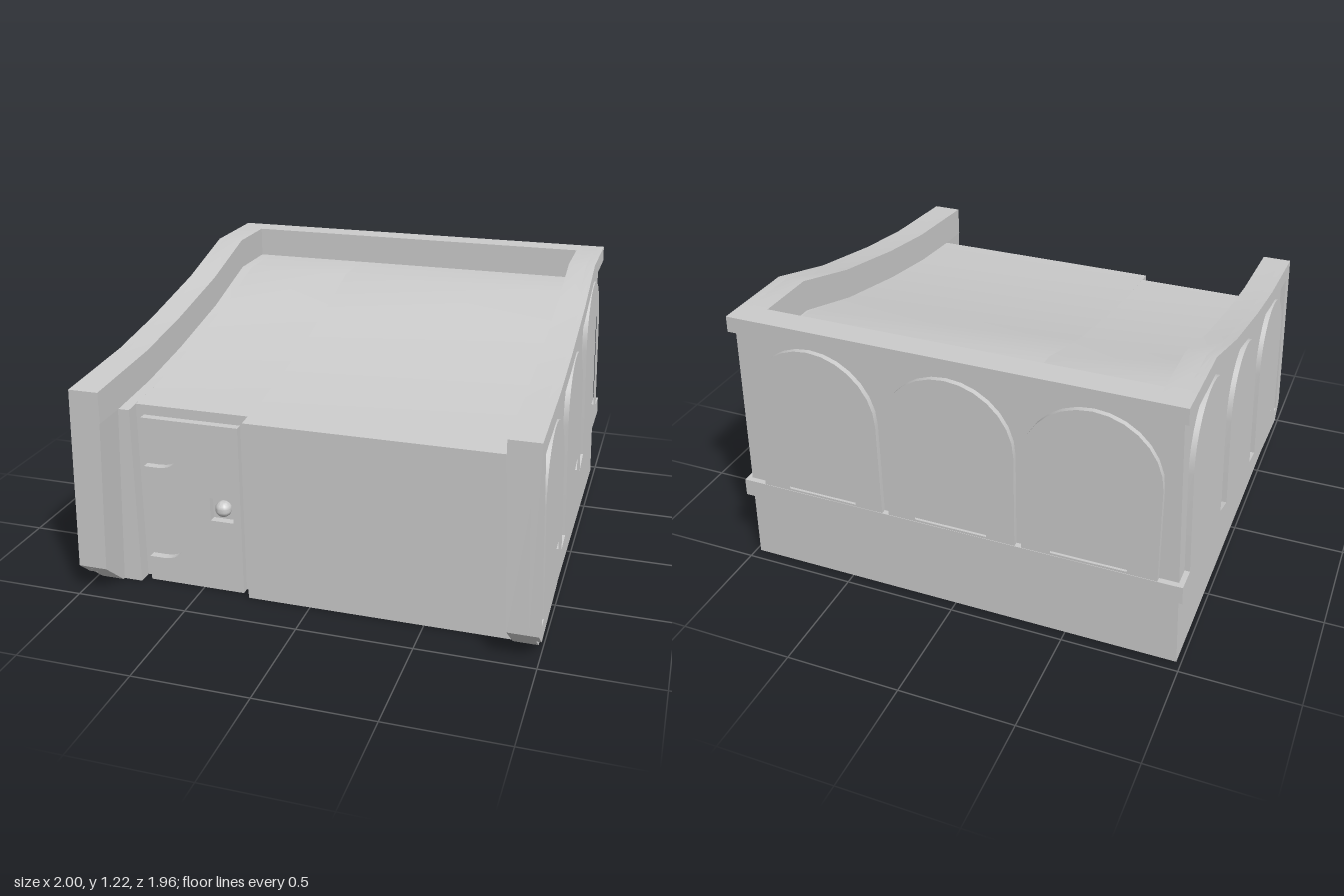
import * as THREE from 'three';
import { toCreasedNormals } from 'three/addons/utils/BufferGeometryUtils.js';

const material = new THREE.MeshStandardMaterial({ color: 0xcccccc });
const RELIEF = 0.022;

// Side-elevation curves as [u, y], with u = -z (front to back)
const rimTop = [[-0.98, 0.945], [-0.53, 0.98], [-0.2, 1.03], [0.22, 1.115], [0.58, 1.22], [0.975, 1.22]];
const rimBottom = [[-0.9, 0.875], [-0.53, 0.91], [-0.2, 0.96], [0.22, 1.045], [0.58, 1.15], [0.975, 1.15]];
const ledgeBottom = [[-0.9, 0.06], [-0.5, 0.09], [-0.12, 0.15], [0.25, 0.23], [0.58, 0.33], [0.975, 0.33]];
const deckInner = [[-0.53, 0.84], [-0.2, 0.89], [0.22, 0.975], [0.58, 1.08], [0.95, 1.08]];

// Outer faces lean inward with height
const outer = (y) => 1.0 - 0.034 * (y - 0.06);
const base = (y) => outer(y) - RELIEF;

const toShape = (pts) => new THREE.Shape(pts.map(([x, y]) => new THREE.Vector2(x, y)));
const clipBack = (pts, u) => pts.map(([x, y]) => [Math.min(x, u), y]);

// Round-headed arch running from its front foot to its back foot
function arch(x0, y0, x1, y1, top) {
  const r = (x1 - x0) / 2, c = (x0 + x1) / 2, pts = [[x0, y0]];
  for (let i = 0; i <= 14; i++) {
    const a = Math.PI * (1 - i / 14);
    pts.push([c + r * Math.cos(a), top - r + r * Math.sin(a)]);
  }
  pts.push([x1, y1]);
  return pts;
}

function addMesh(group, name, geometry) {
  const mesh = new THREE.Mesh(toCreasedNormals(geometry, 0.4), material);
  mesh.name = name;
  group.add(mesh);
  return mesh;
}

// Extrude a side elevation across x, each end a function of height
function across(group, name, shape, from, to) {
  const g = new THREE.ExtrudeGeometry(shape, { depth: 1, bevelEnabled: false });
  g.rotateY(Math.PI / 2);
  const p = g.attributes.position;
  for (let i = 0; i < p.count; i++) {
    const y = p.getY(i);
    p.setX(i, THREE.MathUtils.lerp(from(y), to(y), p.getX(i)));
  }
  return addMesh(group, name, g);
}

// Extrude a front elevation between two depths
function along(group, name, shape, z0, z1) {
  const g = new THREE.ExtrudeGeometry(shape, { depth: z1 - z0, bevelEnabled: false });
  g.translate(0, 0, z0);
  return addMesh(group, name, g);
}

function sidePair(group, name, shape, inner, outside) {
  across(group, name + 'Left', shape, inner, outside);
  across(group, name + 'Right', shape, (y) => -outside(y), (y) => -inner(y));
}

function createBody(group) {
  // Solid core with the sloping deck, set back behind the door
  const slab = (name, x0, x1, frontU) => across(group, name,
    toShape([[frontU, 0], [frontU, 0.815 - (0.82 + frontU) * -0.08], ...deckInner, [0.95, 0]]),
    () => x0, () => x1);
  slab('bodyDoorSide', -0.9, -0.79, -0.82);
  slab('bodyBehindDoor', -0.79, -0.28, -0.755);
  slab('bodyMain', -0.28, 0.9, -0.82);

  // Side walls, below and above deck level
  const deckLine = [[-0.98, 0.81], [-0.82, 0.815], ...deckInner];
  sidePair(group, 'lowerWall',
    toShape([[-0.83, 0], [-0.98, 0.13], ...deckLine, [0.95, 0]]),
    (y) => 0.84 + 0.035 * (0.81 - y) / 0.81, base);
  sidePair(group, 'parapet',
    toShape([...clipBack(rimTop, 0.95), ...deckLine.slice().reverse()]),
    () => 0.838, base);

  // Back wall
  across(group, 'backWall', toShape([[0.86, 0], [0.95, 0], [0.95, 1.22], [0.86, 1.22]]),
    (y) => -base(y), base);
}

function createSideArcades(group) {
  // Raised relief: rim, front post, arches and ledge as one plate
  const plate = toShape([
    ...rimTop, ...rimBottom.slice().reverse(), [-0.9, 0.135],
    ...arch(-0.855, 0.14, -0.36, 0.195, 0.88),
    ...arch(-0.25, 0.21, 0.238, 0.31, 0.97),
    ...arch(0.355, 0.345, 0.87, 0.41, 1.125),
    [0.975, 0.41], ...ledgeBottom.slice().reverse(), [-0.98, 0.13],
  ]);
  plate.holes = [
    arch(-0.745, 0.15, -0.47, 0.18, 0.78),
    arch(-0.14, 0.23, 0.125, 0.285, 0.865),
    [...arch(0.47, 0.38, 0.755, 0.41, 1.015), [0.58, 0.41]],
  ].map(toShape);
  sidePair(group, 'sideArcade', plate, (y) => outer(y) - 0.04, outer);
}

function createBackArcade(group) {
  const bar = (name, y0, y1) => across(group, name,
    toShape([[0.94, y0], [0.975, y0], [0.975, y1], [0.94, y1]]), (y) => -outer(y), outer);
  bar('backRim', 1.15, 1.22);
  bar('backLedge', 0.33, 0.41);
  for (const x of [-0.6, 0, 0.6]) {
    const s = toShape(arch(x - 0.285, 0.4, x + 0.285, 0.4, 1.125));
    s.holes.push(toShape(arch(x - 0.16, 0.42, x + 0.16, 0.42, 1.01)));
    along(group, 'backArch', s, -0.973, -0.94);
  }
}

function createDoor(group) {
  // Door leaf with two hinge cut-outs and a square knob recess
  const pts = [[-0.315, 0], [-0.315, 0.775], [-0.755, 0.775]];
  for (const y of [0.605, 0.17]) {
    pts.push([-0.755, y + 0.055]);
    for (let i = 0; i <= 10; i++) {
      const a = Math.PI * (0.5 - i / 10);
      pts.push([-0.69 + 0.09 * Math.cos(a), y + 0.055 * Math.sin(a)]);
    }
    pts.push([-0.755, y - 0.055]);
  }
  pts.push([-0.755, 0]);
  const leaf = toShape(pts);
  leaf.holes.push(toShape([[-0.455, 0.333], [-0.35, 0.333], [-0.35, 0.44], [-0.455, 0.44]]));
  along(group, 'doorLeaf', leaf, 0.75, 0.79);

  const knob = addMesh(group, 'doorKnob', new THREE.SphereGeometry(0.036, 24, 16));
  knob.position.set(-0.402, 0.387, 0.768);
}

export function createModel() {
  const model = new THREE.Group();
  model.name = 'arcadedBuilding';
  const parts = { body: createBody, sideArcades: createSideArcades, backArcade: createBackArcade, door: createDoor };
  for (const [name, build] of Object.entries(parts)) {
    const group = new THREE.Group();
    group.name = name;
    build(group);
    model.add(group);
  }
  return model;
}
